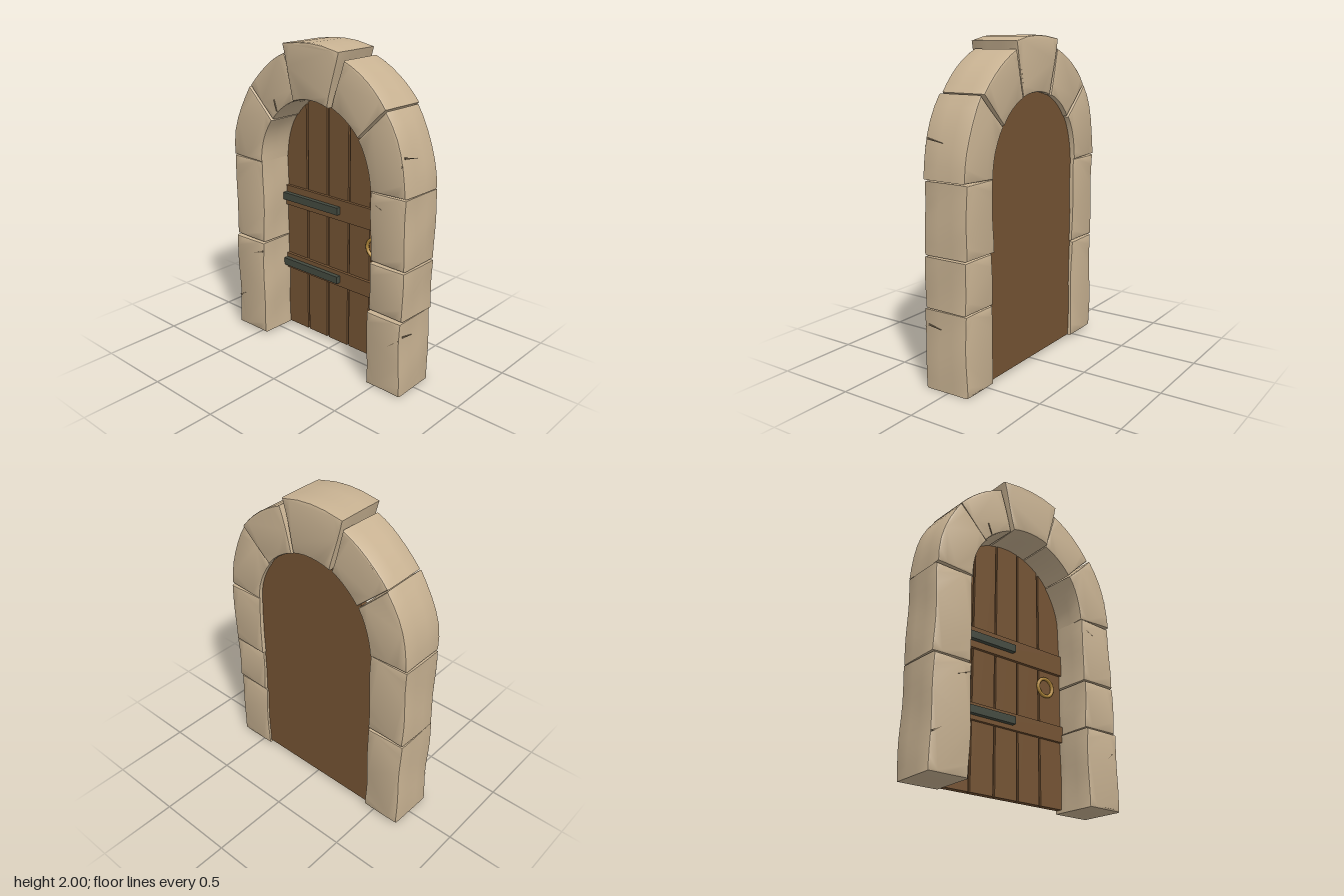
import * as THREE from 'three';
import { toCreasedNormals } from 'three/addons/utils/BufferGeometryUtils.js';

const material = (name, color) => {
  const m = new THREE.MeshStandardMaterial({ color });
  m.name = name;
  return m;
};

export function createModel() {
  const stone = material('stone', 0xc8b292);
  const crackShade = material('crack shade', 0x85745c);
  const wood = material('wood', 0x745333);
  const iron = material('iron', 0x444a40);
  const brass = material('brass', 0xb48a3c);

  const model = new THREE.Group();
  model.name = 'archedDoor';
  const add = (parent, name, geometry, mat) => {
    const mesh = new THREE.Mesh(geometry, mat);
    mesh.name = name;
    parent.add(mesh);
    return mesh;
  };
  const group = (name) => {
    const g = new THREE.Group();
    g.name = name;
    model.add(g);
    return g;
  };

  // ---- Stone surround: bevelled, slightly uneven blocks ----
  const surround = group('stoneSurround');
  const BEVEL = 0.012, GAP = 0.004;
  let seed = 0;

  // Split every edge so the block can be made uneven
  const densify = (pts, step = 0.07) => pts.flatMap((p, i) => {
    const q = pts[(i + 1) % pts.length];
    const n = Math.max(1, Math.round(Math.hypot(q[0] - p[0], q[1] - p[1]) / step));
    return Array.from({ length: n }, (_, k) => new THREE.Vector2(
      p[0] + (q[0] - p[0]) * k / n, p[1] + (q[1] - p[1]) * k / n));
  });

  function block(name, outline, back, front) {
    const geo = new THREE.ExtrudeGeometry(new THREE.Shape(densify(outline)), {
      depth: front - back - 2 * BEVEL, steps: 3, bevelEnabled: true, bevelSegments: 2,
      bevelSize: BEVEL, bevelThickness: BEVEL, bevelOffset: -BEVEL - GAP,
    });
    geo.translate(0, 0, back + BEVEL);
    const p = geo.attributes.position;
    const s = ++seed * 1.9;
    for (let i = 0; i < p.count; i++) {
      const x = p.getX(i), y = p.getY(i), z = p.getZ(i);
      p.setX(i, x + 0.004 * Math.sin(13 * y + 8 * z + s));
      p.setZ(i, z + 0.004 * Math.sin(9 * x + 7 * y + s));
    }
    add(surround, name, toCreasedNormals(geo, 0.6), stone);
  }

  // Straight jamb blocks: [x0, x1, y0, y1, back, front]
  [
    ['leftUpperBlock', 0.44, 0.694, 0.795, 1.222, -0.155, 0.142],
    ['leftMiddleBlock', 0.442, 0.697, 0.485, 0.795, -0.145, 0.145],
    ['leftBaseBlock', 0.436, 0.692, -0.004, 0.485, -0.14, 0.157],
    ['rightUpperBlock', -0.695, -0.432, 0.67, 1.222, -0.15, 0.142],
    ['rightBaseBlock', -0.694, -0.432, 0.012, 0.67, -0.15, 0.152],
  ].forEach(([name, x0, x1, y0, y1, back, front]) =>
    block(name, [[x0, y0], [x1, y0], [x1, y1], [x0, y1]], back, front));

  // Arch blocks between two elliptical curves
  const outer = (t) => [0.694 * Math.cos(t), 1.222 + 0.745 * Math.sin(t)];
  const inner = (t) => [0.434 * Math.cos(t), 1.212 + 0.455 * Math.sin(t)];
  const arc = (curve, a, b, n = 6) =>
    Array.from({ length: n + 1 }, (_, i) => curve(a + (b - a) * i / n));
  const J1 = 0.68, J2 = 1.24;
  [
    ['leftSpringer', 0, J1, -0.15, 0.145],
    ['leftVoussoir', J1, J2, -0.162, 0.138],
    ['rightVoussoir', Math.PI - J2, Math.PI - J1, -0.158, 0.136],
    ['rightSpringer', Math.PI - J1, Math.PI, -0.16, 0.145],
  ].forEach(([name, a, b, back, front]) =>
    block(name, [...arc(outer, a, b), ...arc(inner, b, a)], back, front));

  // Raised keystone
  block('keystone', [
    [0.222, 1.972], [0.1, 1.997], [0, 2.004], [-0.1, 2], [-0.229, 1.982],
    ...arc(inner, Math.PI - J2, J2),
  ], -0.155, 0.165);

  // Fine cracks: thin tapering slivers, drawn in (u, v) and set on a face
  function sliver(u0, v0, u1, v1) {
    const len = Math.hypot(u1 - u0, v1 - v0);
    const nx = -(v1 - v0) / len * 0.005, ny = (u1 - u0) / len * 0.005;
    const shape = new THREE.Shape([
      new THREE.Vector2(u0 + nx, v0 + ny),
      new THREE.Vector2(u0 - nx, v0 - ny),
      new THREE.Vector2(u1, v1),
    ]);
    return new THREE.ExtrudeGeometry(shape, { depth: 0.008, bevelEnabled: false });
  }
  [
    [-0.68, 0.225, -0.615, 0.262, 0.152],
    [-0.445, 0.61, -0.535, 0.575, 0.152],
    [-0.325, 1.63, -0.3, 1.56, 0.136],
    [0.455, 1.16, 0.535, 1.125, 0.142],
    [0.68, 0.375, 0.6, 0.31, 0.157],
    [0.66, 1.41, 0.62, 1.36, 0.145],
  ].forEach(([u0, v0, u1, v1, z]) =>
    add(surround, 'frontCrack', sliver(u0, v0, u1, v1), crackShade).position.z = z - 0.005);
  [
    [-0.13, 0.39, -0.04, 0.375, 0.688],
    [-0.13, 1.45, -0.02, 1.43, 0.665],
  ].forEach(([u0, v0, u1, v1, x]) => {
    const crack = add(surround, 'sideCrack', sliver(u0, v0, u1, v1), crackShade);
    crack.rotation.y = Math.PI / 2;
    crack.position.x = x - 0.005;
  });

  // ---- Door: solid backing with five planks in front ----
  const door = group('door');
  const HALF = 0.445, FLOOR = 0.02;
  const archTop = (x) => 1.21 + 0.465 * Math.sqrt(Math.max(0, 1 - (x / HALF) ** 2));

  function archedPanel(name, x0, x1, back, front, n) {
    const pts = [new THREE.Vector2(x0, FLOOR), new THREE.Vector2(x1, FLOOR)];
    for (let i = 0; i <= n; i++) {
      // Cosine spacing keeps the steep ends round
      const x = (x0 + x1) / 2 + (x1 - x0) / 2 * Math.cos(Math.PI * i / n);
      pts.push(new THREE.Vector2(x, archTop(x)));
    }
    const geo = new THREE.ExtrudeGeometry(new THREE.Shape(pts),
      { depth: front - back, bevelEnabled: false });
    geo.translate(0, 0, back);
    add(door, name, geo, wood);
  }
  archedPanel('doorBacking', -HALF, HALF, -0.128, -0.1, 32);
  const seams = [-HALF - 0.007, -0.26, -0.085, 0.09, 0.265, HALF + 0.007];
  for (let i = 0; i < 5; i++) {
    archedPanel('plank', seams[i] + 0.007, seams[i + 1] - 0.007, -0.1, -0.086, 12);
  }

  function bar(name, x0, x1, y0, y1, z0, z1, mat) {
    const geo = new THREE.BoxGeometry(x1 - x0, y1 - y0, z1 - z0);
    add(door, name, geo, mat).position.set((x0 + x1) / 2, (y0 + y1) / 2, (z0 + z1) / 2);
  }
  // Cross battens and iron hinge straps
  bar('upperBatten', -HALF, HALF, 0.885, 1.02, -0.09, -0.066, wood);
  bar('lowerBatten', -HALF, HALF, 0.435, 0.538, -0.09, -0.066, wood);
  for (const y of [0.952, 0.486]) {
    bar('hingeStrap', -0.445, 0.036, y - 0.024, y + 0.024, -0.07, -0.036, iron);
  }

  // Ring handle
  add(door, 'ringHandle', new THREE.TorusGeometry(0.058, 0.011, 10, 32), brass)
    .position.set(0.31, 0.773, -0.073);

  return model;
}
